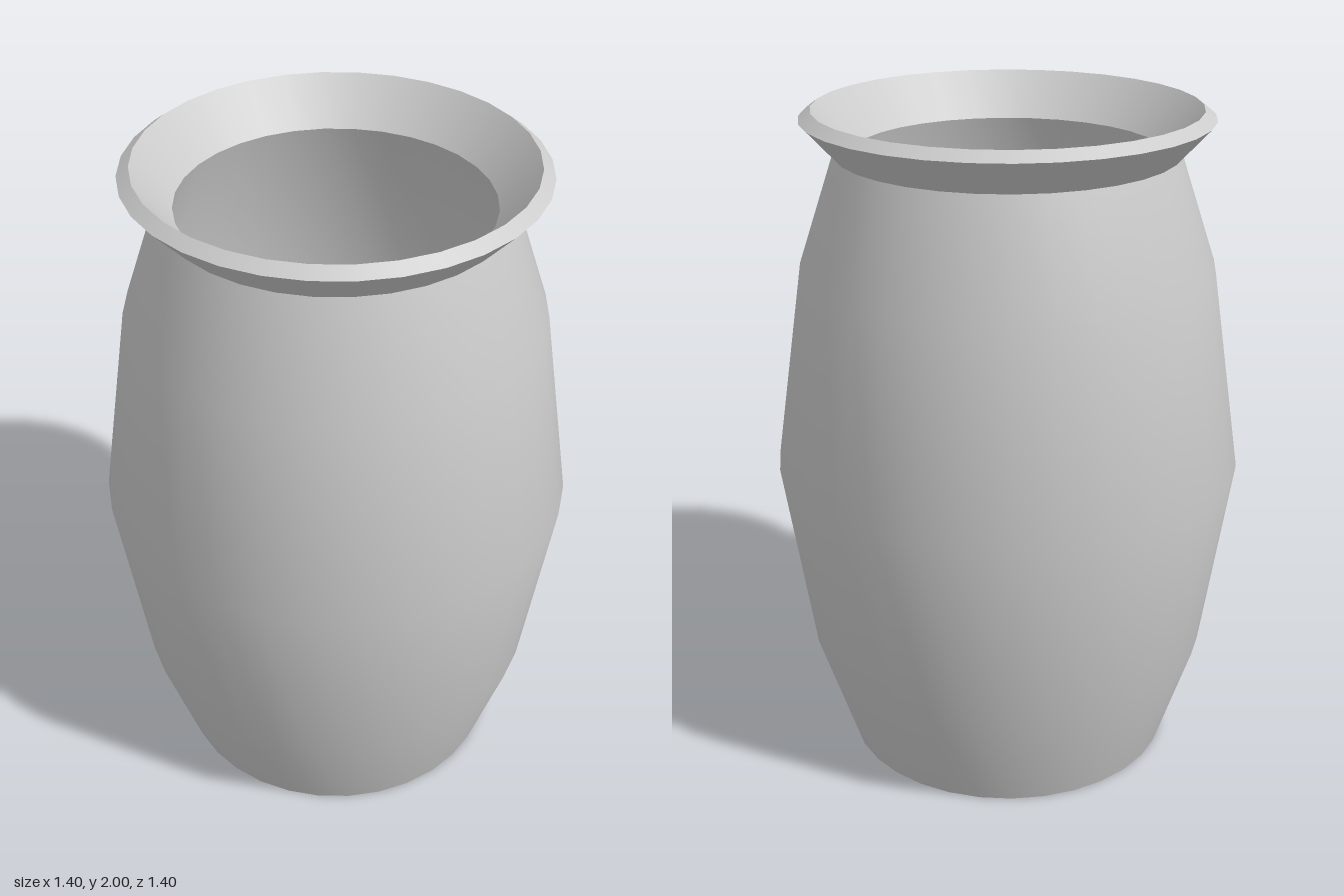
import * as THREE from 'three';

const SIDES = 32;

// Each part is a lathed strip; separate strips keep the edges between them sharp
const parts = {
  base: [[0, 0], [0.5, 0]],
  outerWall: [[0.5, 0], [0.61, 0.335], [0.7, 0.935], [0.61, 1.54], [0.5, 1.87]],
  rimUnderside: [[0.5, 1.87], [0.595, 1.973]],
  rimTop: [[0.595, 1.973], [0.56, 2]],
  rimInside: [[0.56, 2], [0.45, 1.87]],
  innerWall: [[0.45, 1.87], [0.56, 1.54], [0.65, 0.935], [0.56, 0.335], [0.465, 0.05]],
  innerFloor: [[0.465, 0.05], [0, 0.05]],
};

export function createModel() {
  const jar = new THREE.Group();
  jar.name = 'jar';
  const material = new THREE.MeshStandardMaterial({ color: 0xcccccc });

  for (const [name, profile] of Object.entries(parts)) {
    const points = profile.map(([r, y]) => new THREE.Vector2(r, y));
    const mesh = new THREE.Mesh(new THREE.LatheGeometry(points, SIDES), material);
    mesh.name = name;
    jar.add(mesh);
  }
  return jar;
}
